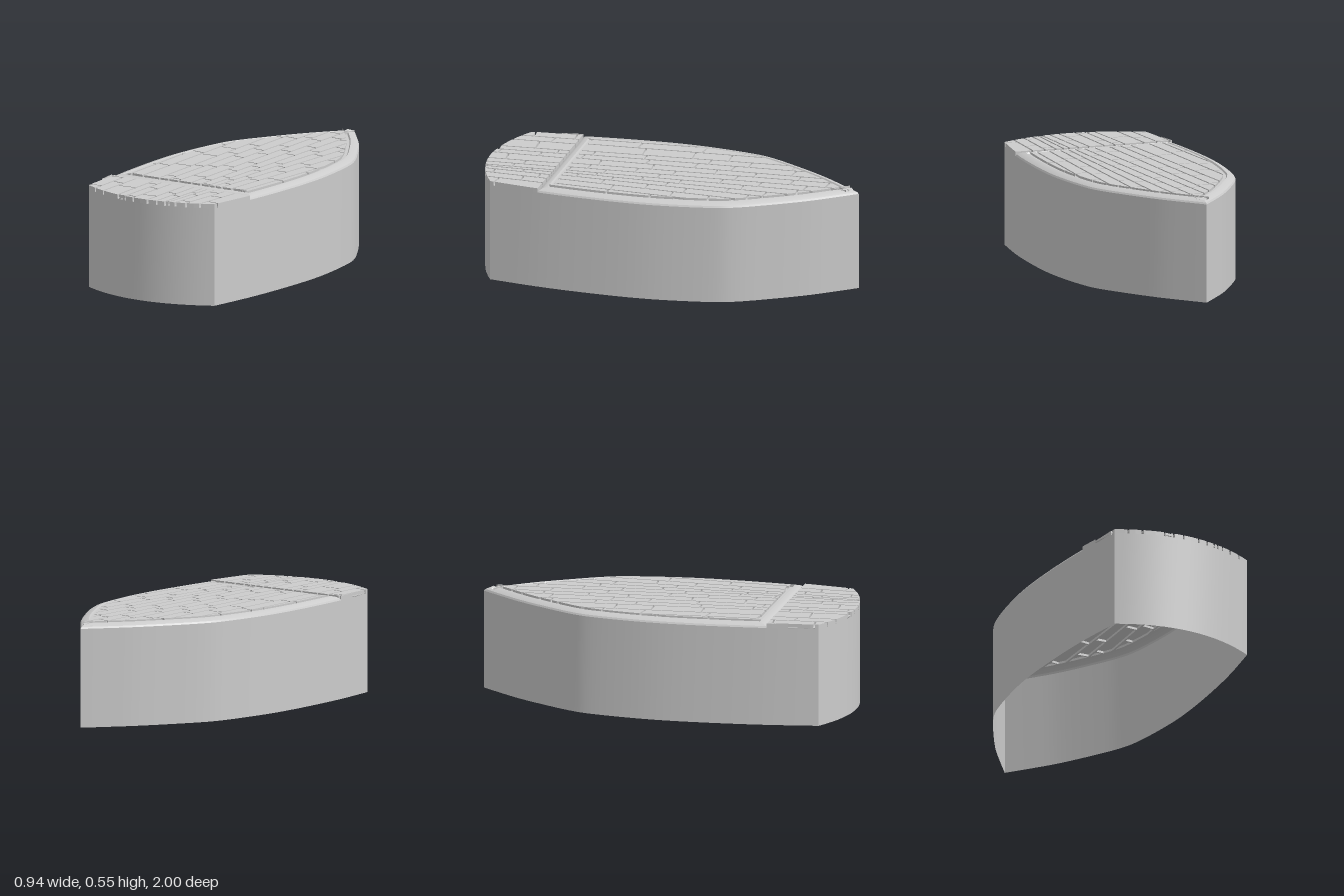
import * as THREE from 'three';
import { toCreasedNormals } from 'three/addons/utils/BufferGeometryUtils.js';

const BAR_Z = 0.62; // where the raised main deck meets the stern deck
const GAP = 0.005; // half the width of a plank seam
const material = new THREE.MeshStandardMaterial({ color: 0xcccccc, side: THREE.DoubleSide });

// Plan outline [x, z] running bow -> left side -> stern -> right side
function hullOutline() {
  const side = new THREE.SplineCurve([
    [0, -1], [0.09, -0.89], [0.19, -0.76], [0.3, -0.585], [0.38, -0.44], [0.42, -0.32],
    [0.455, -0.1], [0.468, 0.1], [0.461, 0.35], [0.438, 0.62], [0.396, 0.89],
  ].map(([x, z]) => new THREE.Vector2(x, z))).getPoints(44).map((p) => [p.x, p.y]);
  const stern = [];
  for (let i = 1; i <= 7; i++) {
    const x = 0.396 * (1 - i / 8);
    stern.push([x, 1 - 0.11 * (x / 0.396) ** 2]);
  }
  const half = [...side, ...stern];
  const mirrored = half.slice(1).reverse().map(([x, z]) => [-x, z]);
  return [...half, [0, 1], ...mirrored];
}

// Keep the part of a polygon where f >= 0
function clip(poly, f) {
  const out = [];
  poly.forEach((a, i) => {
    const b = poly[(i + 1) % poly.length];
    const fa = f(a), fb = f(b);
    if (fa >= 0) out.push(a);
    if ((fa > 0 && fb < 0) || (fa < 0 && fb > 0)) {
      const t = fa / (fa - fb);
      out.push([a[0] + (b[0] - a[0]) * t, a[1] + (b[1] - a[1]) * t]);
    }
  });
  return out;
}

// Mitred inward offset of a closed outline
function inset(poly, d) {
  const n = poly.length;
  const normal = (a, b) => {
    const l = Math.hypot(b[0] - a[0], b[1] - a[1]);
    return [-(b[1] - a[1]) / l, (b[0] - a[0]) / l];
  };
  return poly.map((p, i) => {
    const n1 = normal(poly[(i + n - 1) % n], p);
    const n2 = normal(p, poly[(i + 1) % n]);
    const k = d / (1 + n1[0] * n2[0] + n1[1] * n2[1]);
    return [p[0] + (n1[0] + n2[0]) * k, p[1] + (n1[1] + n2[1]) * k];
  });
}

// Closed band of quads between two matching rings
function band(out, ringA, yA, ringB, yB) {
  ringA.forEach((a, i) => {
    const j = (i + 1) % ringA.length;
    const b = ringB[i], c = ringA[j], d = ringB[j];
    out.push(a[0], yA, a[1], b[0], yB, b[1], c[0], yA, c[1]);
    out.push(b[0], yB, b[1], d[0], yB, d[1], c[0], yA, c[1]);
  });
}

// Flat convex sheet facing up
function sheet(out, poly, y) {
  for (let i = 1; i < poly.length - 1; i++) {
    for (const p of [poly[0], poly[i + 1], poly[i]]) out.push(p[0], y, p[1]);
  }
}

function makeMesh(name, positions, crease = 0) {
  let geometry = new THREE.BufferGeometry();
  geometry.setAttribute('position', new THREE.Float32BufferAttribute(positions, 3));
  geometry.computeVertexNormals();
  if (crease) geometry = toCreasedNormals(geometry, crease);
  const mesh = new THREE.Mesh(geometry, material);
  mesh.name = name;
  return mesh;
}

// Plank seams: x at z = 0.95 and x at z = -0.6
const SEAMS = [
  [-0.7, -0.7], [-0.4, -0.52], [-0.33, -0.43], [-0.262, -0.34], [-0.15, -0.25], [-0.1, -0.175],
  [-0.045, -0.095], [0.045, -0.035], [0.1, 0.037], [0.147, 0.106], [0.17, 0.18],
  [0.205, 0.25], [0.26, 0.33], [0.327, 0.41], [0.7, 0.7],
];
const seamX = ([a, b], z) => a + ((b - a) * (0.95 - z)) / 1.55;

// Planks with sunken seams and staggered butt joints, cut to the outline
function makeDeck(name, outline, top, seamY, skirtY) {
  const planks = [], seams = [];
  const addPlank = (poly) => {
    if (poly.length < 3) return;
    sheet(planks, poly, top);
    band(planks, poly, skirtY, poly, top);
  };
  const addSeam = (poly) => poly.length > 2 && sheet(seams, poly, seamY);
  for (let i = 0; i < SEAMS.length - 1; i++) {
    const left = SEAMS[i], right = SEAMS[i + 1];
    // Long seam on the column's right edge
    addSeam(clip(clip(outline, (p) => p[0] - seamX(right, p[1]) + GAP),
      (p) => seamX(right, p[1]) + GAP - p[0]));
    const column = clip(clip(outline, (p) => p[0] - seamX(left, p[1]) - GAP),
      (p) => seamX(right, p[1]) - GAP - p[0]);
    if (column.length < 3) continue;
    // Butt joints, slightly slanted
    const slant = 0.12 * Math.sin(i * 2.3);
    const along = (p) => p[1] + slant * (p[0] - seamX(left, p[1]));
    let start = -1.4 + ((i * 0.137) % 0.34);
    for (let k = 0; start < 1.1; k++) {
      const from = start;
      const to = from + 0.27 + 0.08 * Math.sin(i * 3.1 + k * 1.9);
      addPlank(clip(clip(column, (p) => along(p) - from - GAP), (p) => to - GAP - along(p)));
      addSeam(clip(clip(column, (p) => along(p) - to + GAP), (p) => to + GAP - along(p)));
      start = to;
    }
  }
  const deck = new THREE.Group();
  deck.name = name;
  deck.add(makeMesh(name + 'Planks', planks), makeMesh(name + 'Seams', seams));
  return deck;
}

export function createModel() {
  const model = new THREE.Group();
  model.name = 'boatDeck';
  const outline = hullOutline();
  const mainOutline = clip(outline, (p) => BAR_Z - p[1]);
  const sternOutline = clip(outline, (p) => p[1] - BAR_Z);

  // Open-bottomed hull wall
  const wall = [];
  band(wall, outline, 0, outline, 0.522);
  model.add(makeMesh('hullWall', wall, 0.5));

  // Rounded rim with a shallow gutter, running around the main deck
  const profile = [[0, 0.522], [0.005, 0.531], [0.022, 0.541], [0.044, 0.546], [0.05, 0.538], [0.066, 0.538]];
  const rings = profile.map(([d]) => inset(mainOutline, d));
  const rim = [];
  for (let i = 0; i < rings.length - 1; i++) {
    band(rim, rings[i], profile[i][1], rings[i + 1], profile[i + 1][1]);
  }
  model.add(makeMesh('deckRim', rim, 0.5));

  // Planked decks
  model.add(makeDeck('mainDeck', inset(mainOutline, 0.066), 0.55, 0.538, 0.538));
  model.add(makeDeck('sternDeck', sternOutline, 0.545, 0.528, 0.522));
  return model;
}
